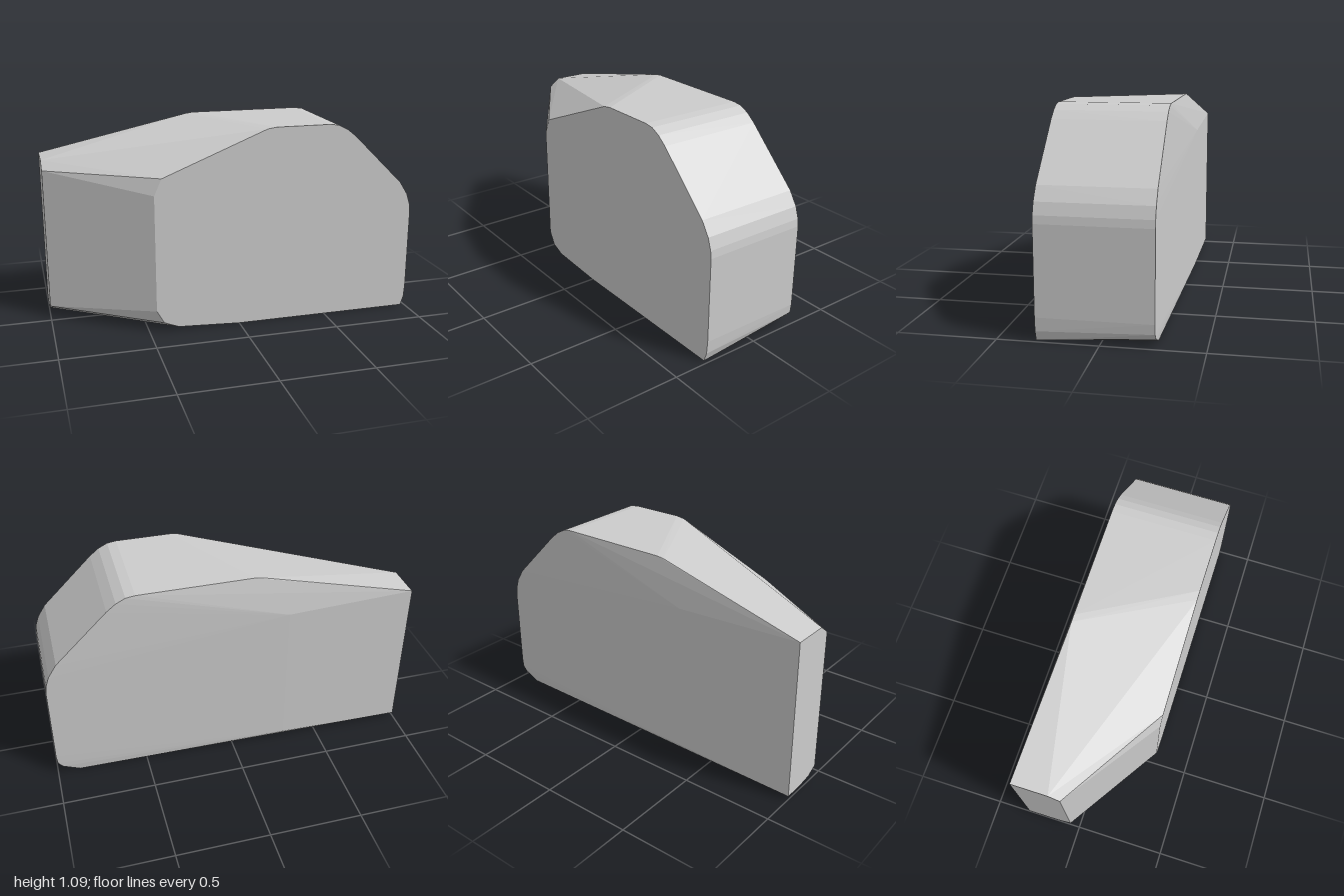
import * as THREE from 'three';
import { ConvexGeometry } from 'three/addons/geometries/ConvexGeometry.js';

export function createModel() {
  const group = new THREE.Group();
  group.name = 'facetedBlock';
  const grey = new THREE.MeshStandardMaterial({ color: 0xcccccc });
  grey.name = 'light grey';

  const points = [];
  const add = (z, list) => list.forEach(([x, y]) => points.push(new THREE.Vector3(x, y, z)));
  const FRONT = 0.31, BACK = -0.262, REAR = -0.31;

  // Rounded shoulder shared by the front and back outlines
  const shoulder = [
    [0.5, 1.087], [0.55, 1.08], [0.6, 1.055], [0.65, 1.015],
    [0.93, 0.74], [0.975, 0.67], [0.995, 0.61], [1, 0.57], [1, 0.12],
  ];

  // Front face outline
  add(FRONT, [
    ...shoulder, [0.995, 0.05], [0.978, 0], [0, 0], [-0.34, 0.018], [-0.42, 0.05],
    [-0.46, 0.12], [-0.46, 0.76], [-0.42, 0.85], [0.15, 1.08], [0.2, 1.087],
  ]);

  // Back outline, with a larger chamfer at the lower corner
  add(BACK, [
    ...shoulder, [0.995, 0.07], [0.97, 0.04], [0.88, 0], [-0.4, 0], [-0.12, 1.087], [-0.16, 1.082],
  ]);

  // Rear bulge on the tapered side
  add(REAR, [[-1, 0.89], [-0.3, 0.86], [-0.3, 0.04], [-1, 0.02]]);

  // Narrow end, its corners cut towards the front
  add(-0.11, [[-1, 0.89], [-1, 0.032]]);
  add(-0.05, [[-1, 0.845], [-1, 0.065]]);
  add(-0.2, [[-1, 0.02]]);

  const body = new THREE.Mesh(new ConvexGeometry(points), grey);
  body.name = 'body';
  group.add(body);
  return group;
}
